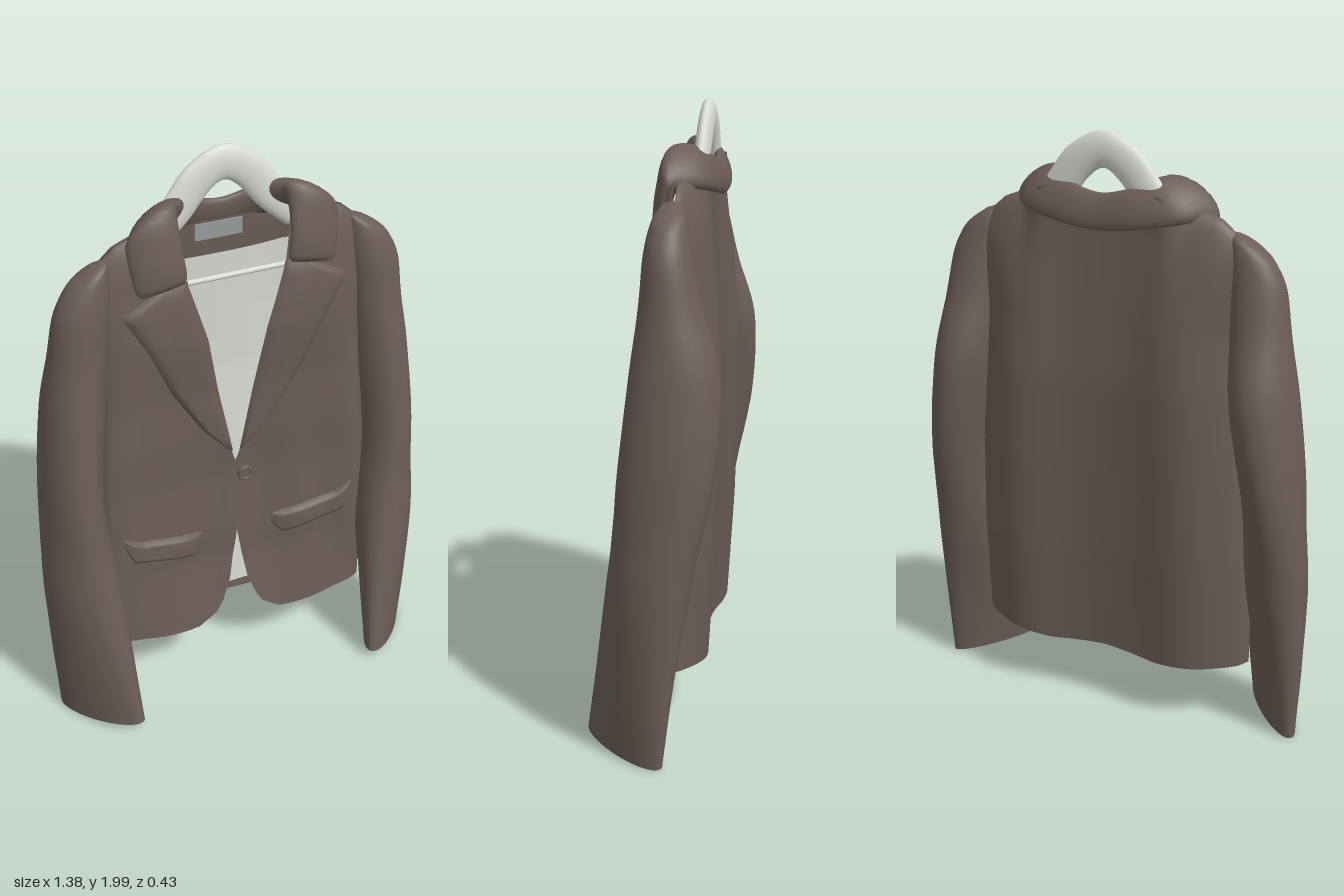
import * as THREE from 'three';
import { mergeVertices } from 'three/addons/utils/BufferGeometryUtils.js';

const V = (x, y, z) => new THREE.Vector3(x, y, z);
const lerp = THREE.MathUtils.lerp;
const clamp = THREE.MathUtils.clamp;

const mat = (name, color) => {
  const m = new THREE.MeshStandardMaterial({ color, side: THREE.DoubleSide });
  m.name = name;
  return m;
};

// piecewise linear lookup in [key, value] pairs
function at(table, k) {
  for (let i = 1; i < table.length; i++) {
    const [k0, v0] = table[i - 1], [k1, v1] = table[i];
    if (k <= k1) return lerp(v0, v1, clamp((k - k0) / (k1 - k0), 0, 1));
  }
  return table[table.length - 1][1];
}

// surface from a point rule over u, v in 0..1
function grid(nu, nv, rule, flip = false) {
  const pos = [], idx = [];
  for (let j = 0; j <= nv; j++)
    for (let i = 0; i <= nu; i++) pos.push(...rule(i / nu, j / nv));
  for (let j = 0; j < nv; j++)
    for (let i = 0; i < nu; i++) {
      const a = j * (nu + 1) + i, b = a + 1, c = b + nu + 1, d = a + nu + 1;
      if (flip) idx.push(a, c, b, a, d, c);
      else idx.push(a, b, c, a, c, d);
    }
  let g = new THREE.BufferGeometry();
  g.setAttribute('position', new THREE.Float32BufferAttribute(pos, 3));
  g.setIndex(idx);
  g = mergeVertices(g, 1e-5);
  g.computeVertexNormals();
  return g;
}

// elliptical loft through stations [centre, half-axis w, half-axis n]
function sweep(stations, nu, nv, m = 1) {
  const [c, w, n] = [0, 1, 2].map(k =>
    new THREE.CatmullRomCurve3(stations.map(s => s[k]), false, 'catmullrom', 0.5));
  return grid(nu, nv, (u, v) => {
    const a = (u % 1) * Math.PI * 2;
    const p = c.getPoint(v).addScaledVector(w.getPoint(v), Math.cos(a)).addScaledVector(n.getPoint(v), Math.sin(a));
    return [p.x * m, p.y, p.z];
  }, m > 0);
}

// torso rules: side seam, half width, shoulder line, hem, front and back depth
const seamZ = y => at([[.22, -.03], [.6, -.04], [1.2, -.06]], y);
const width = y => at([[.22, .5], [.6, .505], [.9, .495], [1.15, .475], [1.4, .46], [1.55, .49], [1.64, .51]], y);
const shoulder = x => at([[0, 1.8], [.2, 1.82], [.38, 1.755], [.51, 1.645]], Math.abs(x));
const hem = x => at([[0, .24], [.18, .225], [.46, .255]], Math.abs(x));
const roll = (x, y) => Math.sqrt(Math.max(0, 1 - Math.pow(clamp((y - .24) / (shoulder(x) - .24), 0, 1), 10)));
const side = (x, y) => Math.min(1, Math.abs(x) / width(y));
function frontZ(x, y) {
  const s = side(x, y);
  const depth = at([[.22, .075], [.6, .105], [1, .112], [1.4, .1], [1.6, .08], [1.75, .075]], y);
  const cave = at([[.22, .015], [.5, .065], [.85, .078], [1.2, .058], [1.5, .028], [1.75, .01]], y);
  const fold = .005 * Math.sin(Math.abs(x) * 26 + y * 3) * clamp(1.6 - y, 0, 1);
  return seamZ(y) + (depth - cave * (1 - s ** 2.5) + fold) * Math.sqrt(1 - s ** 5) * roll(x, y);
}
function backZ(x, y) {
  const s = side(x, y);
  const depth = at([[.22, .09], [.6, .1], [.9, .1], [1.2, .095], [1.5, .08], [1.7, .068]], y);
  const blade = 1 + .35 * Math.sin(Math.PI * s ** 1.4) ** 2;
  const neck = clamp((Math.abs(x) - .22) / .06, 0, 1);
  return seamZ(y) - depth * blade * Math.sqrt(1 - s ** 5) * lerp(1, roll(x, y), neck);
}

// front edge of each panel: curved cutaway, overlap, then the V opening
const V_EDGE = [[.94, .015], [1.2, .068], [1.4, .105], [1.6, .165], [1.8, .19]];
const CUTAWAY = [[.225, .16], [.25, .105], [.3, .068], [.4, .032], [.56, .005]];
const overEdge = [...CUTAWAY, [.7, -.02], [.86, -.02], ...V_EDGE];
const underEdge = [...CUTAWAY, [.7, -.01], [.86, -.01], ...V_EDGE];

// a lining lies inside its panel and leaves a cloth facing along the edges
function frontPanel(m, lined) {
  const edge = m > 0 ? overEdge : underEdge;
  const [margin, facing, depth] = lined ? [.04, .06, .8] : [0, 0, 1];
  return grid(24, 56, (s, t) => {
    const y = lerp(hem(lerp(.15, .46, s)) + margin, shoulder(lerp(.19, .51, s)) - margin, Math.sin(t * Math.PI / 2));
    const x = lerp(at(edge, y) + facing, width(y) - facing * .5, s);
    const overlap = m * .004 * (1 - s ** 4);
    return [x * m, y, lerp(seamZ(y), frontZ(x, y), depth) + overlap];
  }, m < 0);
}

function backPanel(lined) {
  return grid(48, 56, (u, t) => {
    const k = u * 2 - 1;
    const [low, high] = lined ? [.28, 1.63] : [hem(k * .46), shoulder(k * .51)];
    const y = lerp(low, high, Math.sin(t * Math.PI / 2));
    const x = k * (width(y) - (lined ? .03 : 0));
    return [x, y, lerp(seamZ(y), backZ(x, y), lined ? .86 : 1)];
  }, true);
}

// padded patch that lies on the front of the torso
function puff(m, nu, nv, rule, height) {
  return grid(nu, nv, (u, v) => {
    const [x, y] = rule(u, v);
    const h = height * (1 - (2 * u - 1) ** 6) * (1 - (2 * v - 1) ** 14);
    return [x * m, y, frontZ(x, y) + .004 + h];
  }, m < 0);
}

const LAPEL_OUT = [[.94, .02], [1.05, .12], [1.22, .225], [1.4, .305], [1.54, .385], [1.62, .23]];
const FLAP_TOP = [[.13, .635], [.2, .65], [.36, .675], [.425, .71]];
const FLAP_BOTTOM = [[.13, .6], [.165, .55], [.39, .6], [.425, .68]];

// sleeve station: height, centre x and z, half axes, turn, tilt
function sleeveStation([y, cx, cz, a, b, deg, tilt]) {
  const t = deg * Math.PI / 180;
  const wx = a * Math.cos(t), nx = b * Math.sin(t);
  return [V(cx, y, cz), V(wx, wx * tilt, -a * Math.sin(t)), V(nx, nx * tilt, b * Math.cos(t))];
}
const SLEEVE = [
  [.03, .555, .08, .17, .052, 50, -.15], [.3, .565, .042, .158, .08, 50, -.05],
  [.6, .572, -.005, .144, .105, 58, 0], [.9, .572, -.052, .148, .1, 84, 0],
  [1.2, .54, -.076, .138, .104, 94, 0], [1.42, .513, -.06, .095, .096, 90, -.1],
  [1.57, .495, -.05, .073, .092, 90, -.25], [1.655, .478, -.05, .055, .076, 90, -.45],
  [1.69, .465, -.052, .036, .054, 90, -.5], [1.708, .455, -.054, .001, .001, 90, -.5]];
const CUFF = [
  [.03, .555, .08, .17, .052, 50, -.15], [.032, .555, .08, .16, .042, 50, -.15],
  [.08, .556, .075, .152, .034, 50, -.15], [.085, .556, .075, .001, .001, 50, -.15]];

// collar half, from its front end to the middle of the neck
const COLLAR = [
  [V(.25, 1.61, .012), V(.07, -.012, 0), V(0, 0, .006)],
  [V(.255, 1.64, .006), V(.084, -.01, -.004), V(0, 0, .026)],
  [V(.266, 1.73, -.008), V(.086, .005, -.012), V(0, .008, .03)],
  [V(.262, 1.8, -.04), V(.08, -.035, -.005), V(.008, .048, .026)],
  [V(.215, 1.8, -.1), V(.058, -.056, -.03), V(.015, .033, -.014)],
  [V(.12, 1.775, -.14), V(.022, -.058, -.02), V(.01, .012, -.02)],
  [V(0, 1.757, -.145), V(0, -.056, -.015), V(0, .004, -.02)]];

export function createModel() {
  const jacket = new THREE.Group();
  jacket.name = 'jacketOnHanger';
  const cloth = mat('brown cloth', 0x6b5d55);
  const lining = mat('pale lining', 0xd8dbd4);
  const wood = mat('white hanger', 0xd8dbd4);
  const tag = mat('grey label', 0x979b9c);
  const add = (name, geometry, material, parent = jacket) => {
    const mesh = new THREE.Mesh(geometry, material);
    mesh.name = name;
    parent.add(mesh);
    return mesh;
  };

  // torso
  add('backPanel', backPanel(false), cloth);
  add('backLining', backPanel(true), lining);
  for (const [m, name] of [[1, 'left'], [-1, 'right']]) {
    add(name + 'FrontPanel', frontPanel(m, false), cloth);
    add(name + 'FrontLining', frontPanel(m, true), lining);

    // lapel and pocket flap
    add(name + 'Lapel', puff(m, 16, 34, (u, v) => {
      const y = lerp(.94, 1.62, v);
      return [lerp(at(V_EDGE, y) - .003, at(LAPEL_OUT, y), u), y];
    }, .018), cloth);
    add(name + 'PocketFlap', puff(m, 24, 10, (u, v) => {
      const x = lerp(.13, .425, u);
      return [x, lerp(at(FLAP_BOTTOM, x), at(FLAP_TOP, x), v)];
    }, .02), cloth);

    // sleeve and its open cuff
    add(name + 'Sleeve', sweep(SLEEVE.map(sleeveStation), 32, 64, m), cloth);
    add(name + 'CuffInside', sweep(CUFF.map(sleeveStation), 32, 9, m), cloth);
  }

  // collar, one piece around the neck
  const mirrored = COLLAR.slice(0, -1).reverse().map(s => s.map(p => V(-p.x, p.y, p.z)));
  add('collar', sweep([...COLLAR, ...mirrored], 20, 72), cloth);

  // button
  const button = new THREE.Group();
  button.name = 'button';
  button.position.set(.03, .84, frontZ(.03, .84) + .01);
  jacket.add(button);
  add('buttonDisc', new THREE.CylinderGeometry(.025, .027, .014, 24).rotateX(Math.PI / 2), cloth, button);
  add('buttonRim', new THREE.TorusGeometry(.022, .005, 8, 24), cloth, button).position.z = .007;

  // neck label
  add('neckLabel', new THREE.BoxGeometry(.16, .055, .006), tag).position.set(-.015, 1.718, -.112);

  // hanger arch and trouser bar
  const arm = [[V(-.24, 1.73, -.1), V(-.03, .035, 0)], [V(-.16, 1.81, -.104), V(-.038, .04, 0)],
    [V(-.085, 1.9, -.107), V(-.034, .046, 0)]];
  const arch = [...arm, [V(0, 1.942, -.107), V(0, .058, 0)],
    ...arm.slice().reverse().map(([c, w]) => [V(-c.x, c.y, c.z), V(-w.x, w.y, 0)])]
    .map(([c, w]) => [c, w, V(0, 0, -.025)]);
  add('hangerArch', sweep(arch, 24, 48), wood);
  add('hangerBar', new THREE.CylinderGeometry(.009, .009, .38, 12).rotateZ(Math.PI / 2), wood).position.set(0, 1.585, -.05);

  return jacket;
}
